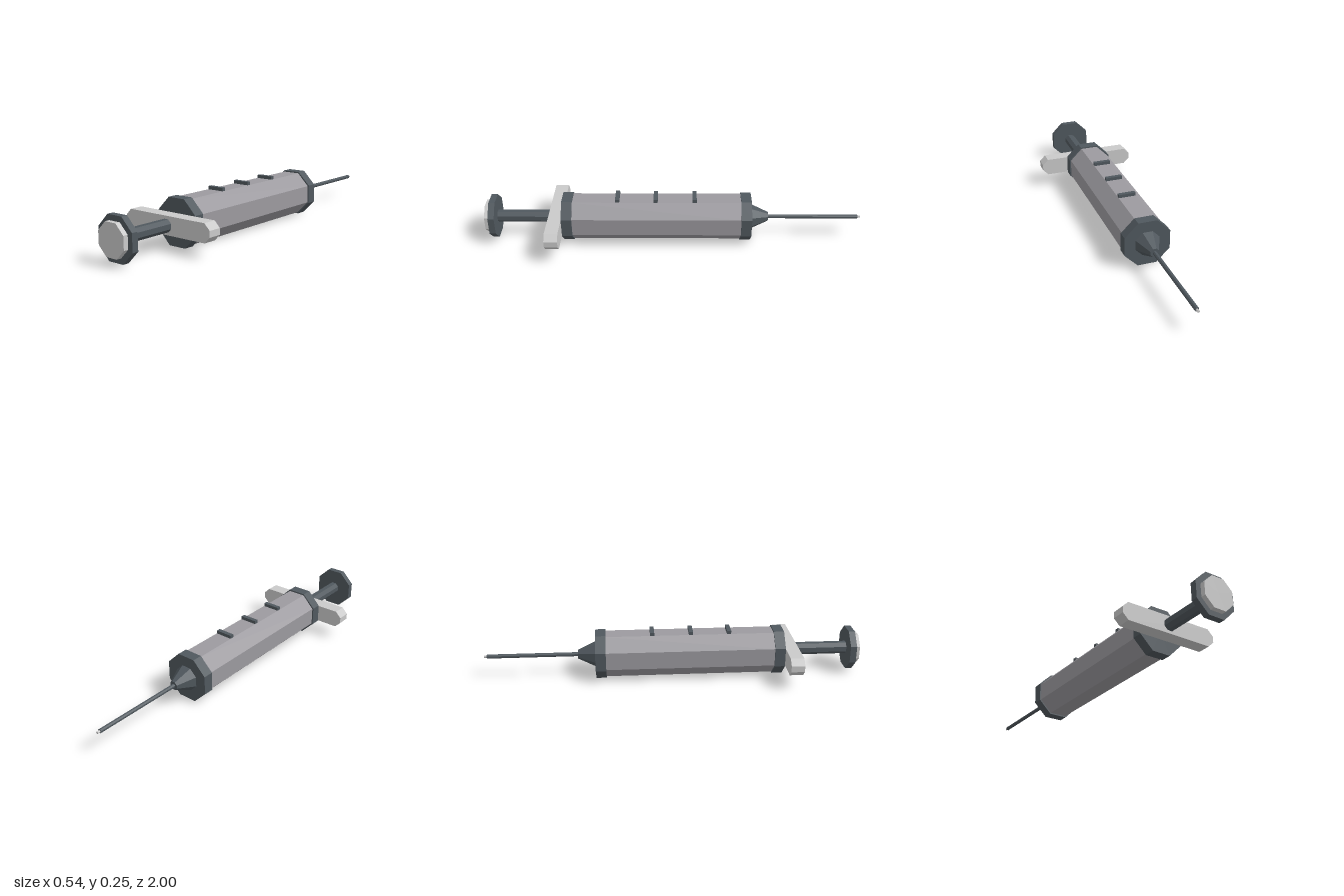
import * as THREE from 'three';

const AXIS_Y = 0.12;

function material(name, color) {
  const m = new THREE.MeshStandardMaterial({ color });
  m.name = name;
  return m;
}

export function createModel() {
  const group = new THREE.Group();
  group.name = 'syringe';
  const dark = material('dark slate', 0x50585e);
  const grey = material('barrel grey', 0x9c9a9f);
  const light = material('light grey', 0xcacaca);

  function add(name, geometry, mat) {
    const mesh = new THREE.Mesh(geometry, mat);
    mesh.name = name;
    group.add(mesh);
    return mesh;
  }

  // Octagonal section along z with flats on top and sides; sizes are centre-to-flat
  function octagon(name, mat, z0, z1, flat0, flat1 = flat0) {
    const k = 1 / Math.cos(Math.PI / 8);
    const g = new THREE.CylinderGeometry(flat1 * k, flat0 * k, z1 - z0, 8, 1, false, Math.PI / 8)
      .toNonIndexed();
    g.computeVertexNormals();
    g.rotateX(Math.PI / 2);
    g.translate(0, AXIS_Y, (z0 + z1) / 2);
    return add(name, g, mat);
  }

  // Barrel and its end collars
  octagon('barrel', grey, -0.36, 0.54, 0.113);
  octagon('frontCollar', dark, -0.41, -0.355, 0.12);
  octagon('rearCollar', dark, 0.535, 0.59, 0.12);

  // Nozzle and needle
  octagon('nozzle', dark, -0.505, -0.41, 0.022, 0.063);
  octagon('needle', dark, -0.985, -0.5, 0.01);
  octagon('needleTip', light, -1, -0.985, 0.006);

  // Plunger
  octagon('plungerRod', dark, 0.59, 0.945, 0.031);
  octagon('plungerDisc', dark, 0.942, 0.975, 0.108);
  octagon('thumbPad', light, 0.975, 1, 0.081);

  // Finger grip with clipped corners
  const w = 0.27, h = 0.047, c = 0.031;
  const outline = new THREE.Shape([
    [w, -h + c], [w, h - c], [w - c, h], [-w + c, h],
    [-w, h - c], [-w, -h + c], [-w + c, -h], [w - c, -h],
  ].map(([x, y]) => new THREE.Vector2(x, y)));
  const grip = new THREE.ExtrudeGeometry(outline, { depth: 0.07, bevelEnabled: false });
  grip.translate(0, AXIS_Y, 0.59);
  add('fingerGrip', grip, light);

  // Raised measuring marks on top of the barrel
  for (const z of [-0.11, 0.095, 0.297]) {
    const mark = add('measureMark', new THREE.BoxGeometry(0.092, 0.022, 0.022), dark);
    mark.position.set(0, 0.239, z);
  }

  return group;
}
